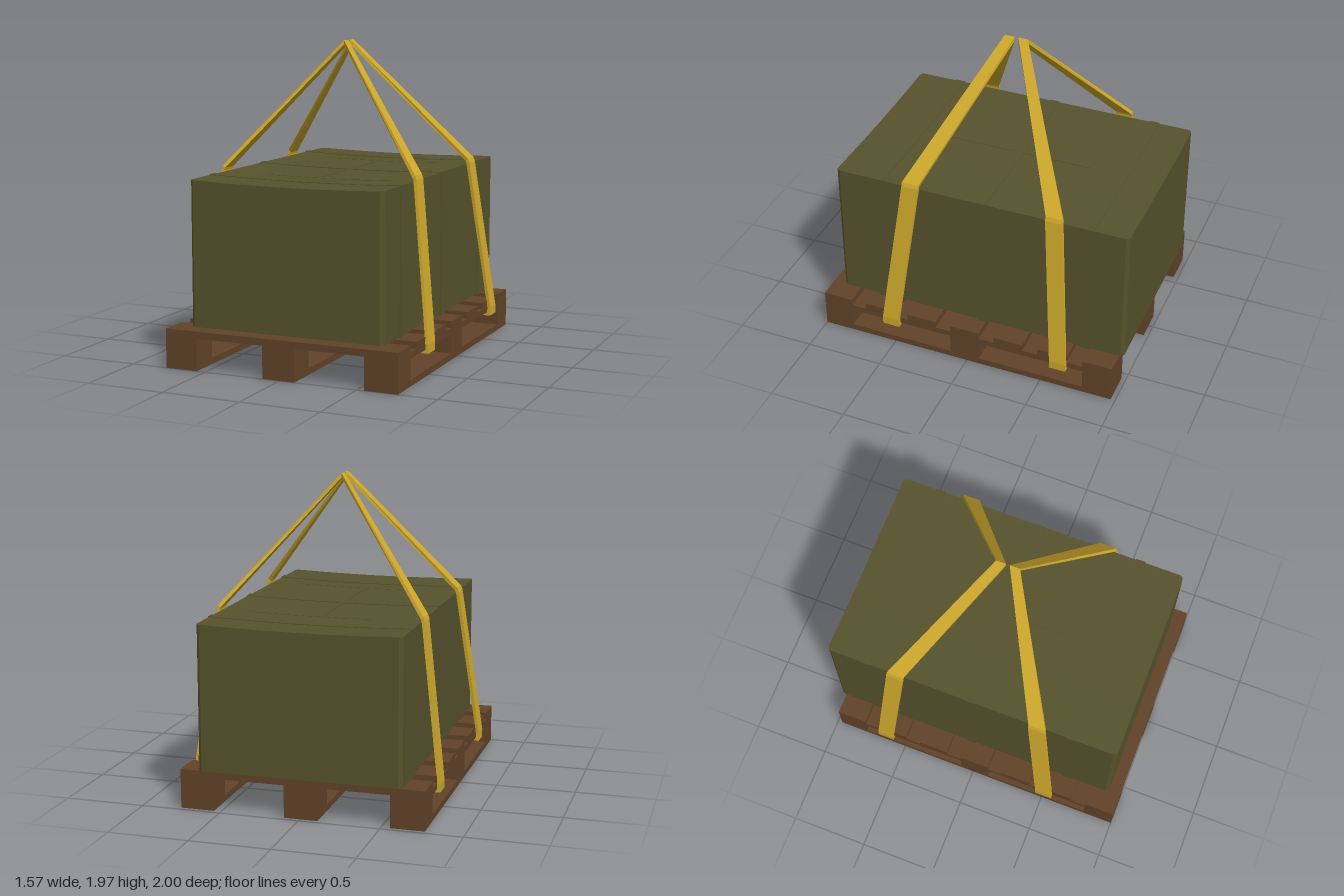
import * as THREE from 'three';

const olive = new THREE.MeshStandardMaterial({ color: 0x57532d, flatShading: true });
const wood = new THREE.MeshStandardMaterial({ color: 0x624329, flatShading: true });
const webbing = new THREE.MeshStandardMaterial({ color: 0xd0aa2c, flatShading: true });

function add(parent, name, geometry, material) {
  const mesh = new THREE.Mesh(geometry, material);
  mesh.name = name;
  parent.add(mesh);
  return mesh;
}

// Box given by its limits on each axis
function block(parent, name, [x0, x1], [y0, y1], [z0, z1], material) {
  const mesh = add(parent, name, new THREE.BoxGeometry(x1 - x0, y1 - y0, z1 - z0), material);
  mesh.position.set((x0 + x1) / 2, (y0 + y1) / 2, (z0 + z1) / 2);
}

// Box whose top sags towards x = 0; corner > 0 eases the upright edges
function saggingBox([x0, x1], [y0, y1], [z0, z1], corner = 0) {
  const w = x1 - x0, d = z1 - z0, n = 12, m = corner ? 12 : 1;
  const g = new THREE.BoxGeometry(w, y1 - y0, d, n, 1, m);
  g.translate((x0 + x1) / 2, (y0 + y1) / 2, (z0 + z1) / 2);
  const p = g.attributes.position, cx = (x0 + x1) / 2, cz = (z0 + z1) / 2;
  for (let i = 0; i < p.count; i++) {
    let x = p.getX(i), z = p.getZ(i);
    if (corner) {
      const sx = Math.sign(x - cx), sz = Math.sign(z - cz);
      const ix = Math.round(Math.abs(x - cx) / (w / n)), iz = Math.round(Math.abs(z - cz) / (d / m));
      if (ix === n / 2 - 1) x = cx + sx * (w / 2 - corner);
      if (iz === m / 2 - 1) z = cz + sz * (d / 2 - corner);
      if (ix === n / 2 && iz === m / 2) {
        x -= sx * corner * 0.35;
        z -= sz * corner * 0.35;
      }
    }
    const top = p.getY(i) > (y0 + y1) / 2;
    const sag = top ? 0.013 * (1 - Math.min(1, (x / 0.63) ** 2)) : 0;
    p.setXYZ(i, x, p.getY(i) - sag, z);
  }
  g.computeVertexNormals();
  return g;
}

// Closed flat sling; each station is [outer x, outer y, inner x, inner y, back z, front z]
function slingGeometry(foot, knee, apex) {
  const half = [
    [0.783, 0.145, 0.763, 0.165, ...foot],
    [0.783, 0.2, 0.763, 0.2, ...foot],
    [0.657, 1.165, 0.637, 1.16, ...knee],
    [0.648, 1.19, 0.632, 1.175, ...knee],
  ];
  const mirrored = half.map(([a, b, c, d, e, f]) => [-a, b, -c, d, e, f]).reverse();
  const stations = [...half, [0, 1.968, 0, 1.94, ...apex], ...mirrored];
  const rings = stations.map(([ox, oy, ix, iy, zb, zf]) =>
    [[ox, oy, zf], [ox, oy, zb], [ix, iy, zb], [ix, iy, zf]]);
  const pos = [];
  rings.forEach((a, i) => {
    const b = rings[(i + 1) % rings.length];
    for (let k = 0; k < 4; k++) {
      const l = (k + 1) % 4;
      pos.push(...a[k], ...a[l], ...b[l], ...a[k], ...b[l], ...b[k]);
    }
  });
  const g = new THREE.BufferGeometry();
  g.setAttribute('position', new THREE.Float32BufferAttribute(pos, 3));
  g.computeVertexNormals();
  return g;
}

function createPallet() {
  const pallet = new THREE.Group();
  pallet.name = 'pallet';
  // Runners: bottom board, three blocks and upper stringer
  for (const x of [[-0.765, -0.555], [-0.11, 0.1], [0.545, 0.757]]) {
    block(pallet, 'bottomBoard', x, [0, 0.04], [-0.97, 1], wood);
    block(pallet, 'stringer', x, [0.165, 0.202], [-0.97, 1], wood);
    for (const z of [[-0.97, -0.78], [-0.083, 0.112], [0.805, 1]])
      block(pallet, 'spacerBlock', x, [0.04, 0.165], z, wood);
  }
  // Seven deck slats across
  for (let i = 0; i < 7; i++) {
    const z = 0.9025 - i * 0.2958;
    block(pallet, 'deckSlat', [-0.765, 0.757], [0.202, 0.245], [z - 0.0975, z + 0.0975], wood);
  }
  return pallet;
}

function createCargo() {
  const cargo = new THREE.Group();
  cargo.name = 'cargo';
  add(cargo, 'carton', saggingBox([-0.632, 0.63], [0.253, 1.154], [-1, 0.92], 0.022), olive);
  // Bands wrapped around the carton
  for (const z of [-0.748, -0.053, 0.63])
    add(cargo, 'band', saggingBox([-0.637, 0.635], [0.244, 1.158], [z - 0.032, z + 0.032]), olive);
  // Lid seams
  add(cargo, 'lidSeam', saggingBox([-0.013, 0.004], [1.14, 1.157], [-0.53, 0.44]), olive);
  for (const z of [-0.53, 0.44])
    add(cargo, 'flapSeam', saggingBox([-0.35, 0.475], [1.14, 1.156], [z - 0.003, z + 0.003]), olive);
  return cargo;
}

export function createModel() {
  const model = new THREE.Group();
  model.name = 'slungPalletLoad';
  model.add(createPallet(), createCargo());
  // Two lifting slings passing under the deck and meeting overhead
  const front = slingGeometry([0.46, 0.573], [0.35, 0.46], [-0.02, 0.045]);
  const rear = slingGeometry([-0.675, -0.567], [-0.59, -0.48], [-0.105, -0.043]);
  add(model, 'frontSling', front, webbing).position.x = -0.004;
  add(model, 'rearSling', rear, webbing).position.x = -0.004;
  return model;
}
